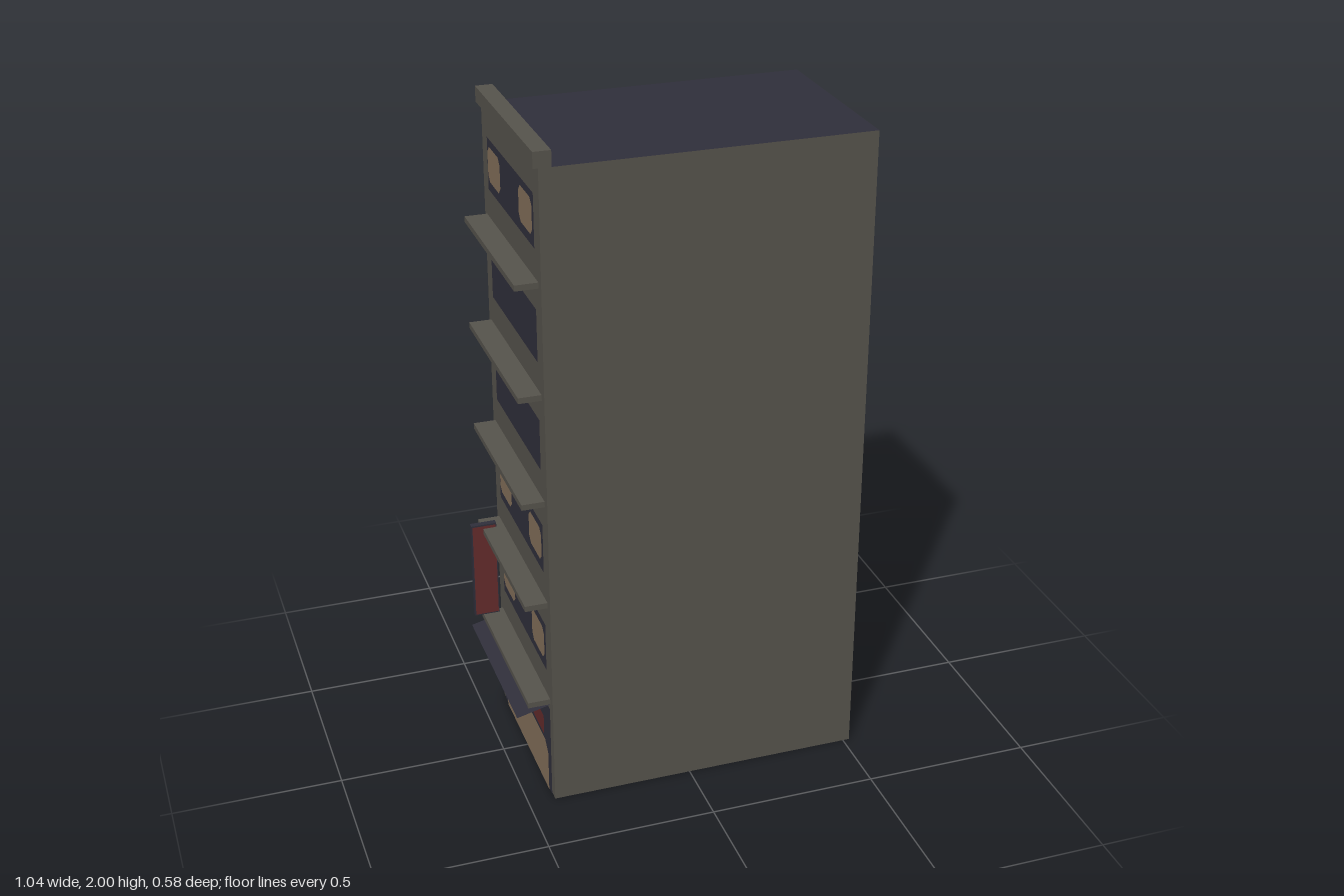
import * as THREE from 'three';

const mat = (name, color, side = THREE.FrontSide) => {
  const m = new THREE.MeshStandardMaterial({ color, side });
  m.name = name;
  return m;
};

export function createModel() {
  const group = new THREE.Group();
  const wall = mat('stone wall', 0x57544d, THREE.DoubleSide);
  const dark = mat('dark slate', 0x302f3b, THREE.DoubleSide);
  const warm = mat('lit glass', 0x84705a);
  const red = mat('sign red', 0x642c2c);

  const W0 = -0.42, W1 = 0.52, D = 0.29, H = 1.955, STOREY = 0.325;

  const add = (name, geo, material, x, y, z, rx = 0, ry = 0) => {
    const m = new THREE.Mesh(geo, material);
    m.name = name;
    m.position.set(x, y, z);
    m.rotation.set(rx, ry, 0);
    group.add(m);
    return m;
  };
  const plane = (w, h) => new THREE.PlaneGeometry(w, h);
  const box = (name, m, x0, x1, y0, y1, z0, z1) =>
    add(name, new THREE.BoxGeometry(x1 - x0, y1 - y0, z1 - z0), m,
      (x0 + x1) / 2, (y0 + y1) / 2, (z0 + z1) / 2);

  // Panel lying on the street facade (facing -x) with cut corners;
  // cutBottom leaves the lower corners square when zero
  const panel = (name, m, layer, z0, z1, y0, y1, cut = 0, cutBottom = cut) => {
    const w = (z1 - z0) / 2, h = (y1 - y0) / 2;
    const pts = [
      [-w + cutBottom, -h], [w - cutBottom, -h], [w, -h + cutBottom],
      [w, h - cut], [w - cut, h], [-w + cut, h], [-w, h - cut], [-w, -h + cutBottom],
    ].map(([a, b]) => new THREE.Vector2(a, b));
    add(name, new THREE.ShapeGeometry(new THREE.Shape(pts)), m,
      W0 - 0.002 * layer, (y0 + y1) / 2, (z0 + z1) / 2, 0, -Math.PI / 2);
  };

  // Hollow shell: four walls and a roof, open below
  const cx = (W0 + W1) / 2, len = W1 - W0;
  add('sideWallLeft', plane(len, H), wall, cx, H / 2, D);
  add('sideWallRight', plane(len, H), wall, cx, H / 2, -D, 0, Math.PI);
  add('rearWall', plane(2 * D, H), wall, W1, H / 2, 0, 0, Math.PI / 2);
  add('facadeWall', plane(2 * D, H), wall, W0, H / 2, 0, 0, -Math.PI / 2);
  add('roof', plane(len, 2 * D), dark, cx, H, 0, -Math.PI / 2);

  // Parapet above the facade
  box('parapet', wall, -0.434, -0.384, H, 2, -0.295, 0.29);

  // Ledges and window bands, some storeys lit
  const lit = [1, 2, 5];
  for (let k = 1; k <= 5; k++) {
    const y = k * STOREY;
    box('ledge', wall, -0.486, W0, y - 0.008, y + 0.009, -0.268, 0.264);
    panel('windowBand', dark, 1, -0.23, 0.24, y + 0.095, y + 0.248);
    if (lit.includes(k)) {
      for (const z of [-0.155, 0.165])
        panel('litWindow', warm, 2, z - 0.065, z + 0.065, y + 0.125, y + 0.228, 0.018);
    }
  }

  // Shopfront at street level
  panel('shopRecess', dark, 1, -0.265, 0.265, 0, 0.3);
  panel('shopWindow', warm, 2, -0.23, 0.24, 0, 0.16, 0.03, 0);
  panel('shopSign', red, 2, -0.19, 0.2, 0.172, 0.235);

  // Thin sloping awning
  const awning = plane(0.1, 0.532);
  awning.rotateX(-Math.PI / 2);
  const p = awning.attributes.position;
  for (let i = 0; i < p.count; i++) p.setY(i, p.getX(i) * 0.25);
  awning.computeVertexNormals();
  add('awning', awning, dark, -0.47, 0.303, -0.002);

  // Hanging blade sign with dark edge and red faces
  box('bladeSignFrame', dark, -0.522, -0.445, 0.36, 0.672, -0.225, -0.207);
  for (const s of [-1, 1])
    add('bladeSignFace', plane(0.071, 0.304), red, -0.4835, 0.516, -0.216 + s * 0.0105,
      0, s < 0 ? Math.PI : 0);

  return group;
}
